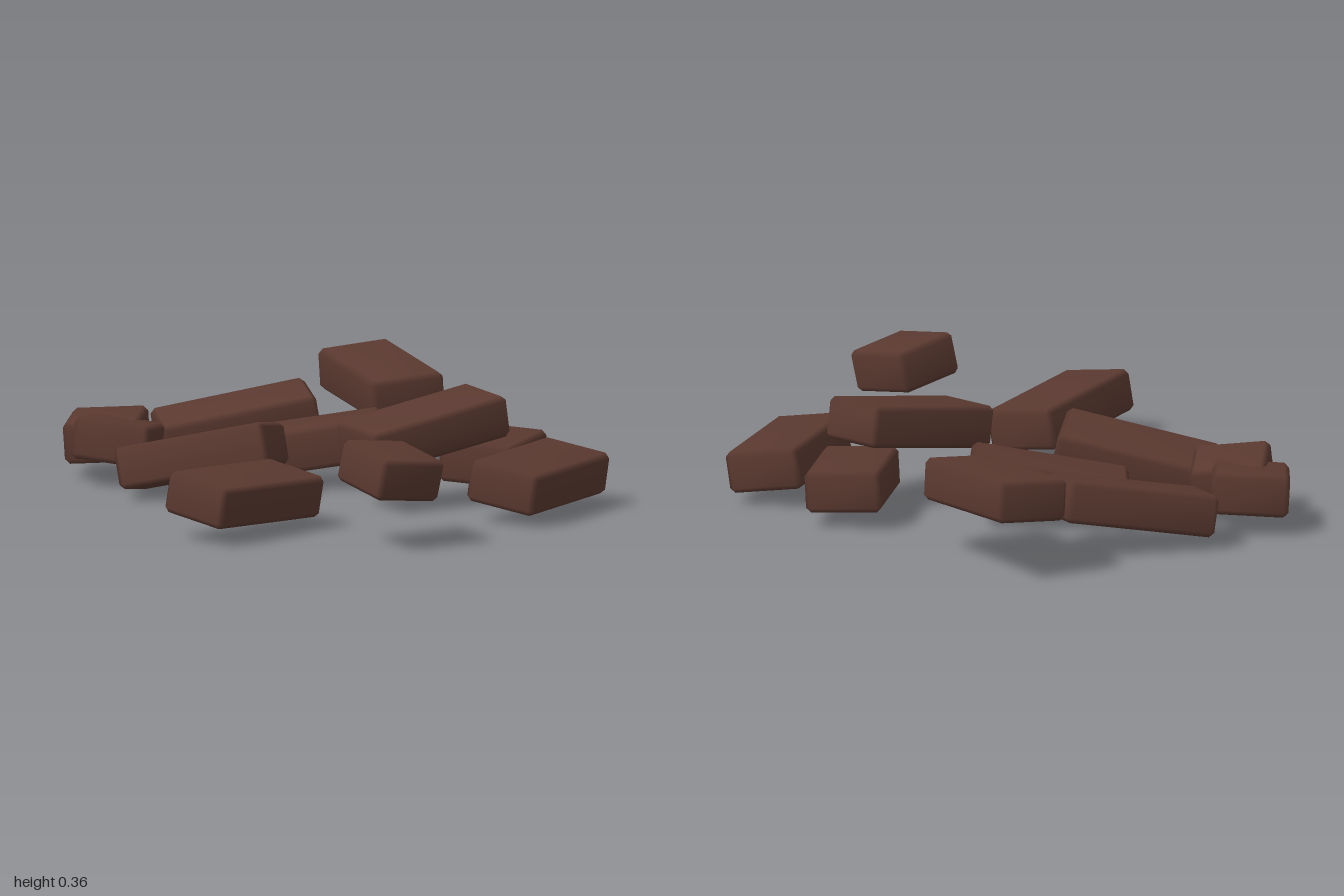
import * as THREE from 'three';
import { ConvexGeometry } from 'three/addons/geometries/ConvexGeometry.js';
import { mergeVertices } from 'three/addons/utils/BufferGeometryUtils.js';

const WIDTH = 0.245, HEIGHT = 0.135, BEVEL = 0.016;

// Box with chamfered edges and softly blended normals
function brickGeometry(length, width = WIDTH) {
  const half = [length / 2, HEIGHT / 2, width / 2];
  const points = [];
  for (const sx of [-1, 1]) for (const sy of [-1, 1]) for (const sz of [-1, 1]) {
    const sign = [sx, sy, sz];
    for (let axis = 0; axis < 3; axis++) {
      const p = half.map((h, i) => sign[i] * (i === axis ? h : h - BEVEL));
      points.push(new THREE.Vector3(...p));
    }
  }
  let geometry = new ConvexGeometry(points);
  geometry.deleteAttribute('normal');
  geometry = mergeVertices(geometry, 1e-4);
  geometry.computeVertexNormals();
  return geometry;
}

export function createModel() {
  const model = new THREE.Group();
  model.name = 'scatteredBricks';
  const brown = new THREE.MeshStandardMaterial({ color: 0x5a3930 });
  brown.name = 'dark brick brown';

  const whole = brickGeometry(0.505);
  const broken = brickGeometry(0.355);
  const half = brickGeometry(0.245);

  // name, geometry, position x y z, yaw, pitch (rise along length), roll
  const bricks = [
    ['backBrick', whole, -0.095, 0.253, -0.74, -0.81, -0.06, 0.085],
    ['backLeaningBrick', whole, -0.465, 0.145, -0.425, 0.555, 0.18, 0.1],
    ['sideLeaningBrick', whole, -0.335, 0.14, 0.165, 0.13, 0.22, -0.17],
    ['middleBrick', whole, -0.13, 0.135, -0.175, 0.258, 0.17, 0.02],
    ['outerBrick', whole, 0.77, 0.125, 0.025, 1.474, 0, 0.15],
    ['stackedBrick', whole, 0.37, 0.252, 0.02, 0.945, 0.165, 0.04],
    ['supportingBrick', broken, 0.49, 0.128, -0.265, 1.63, 0, 0.05],
    ['frontBrick', whole, 0.05, 0.133, 0.725, 1.273, -0.05, 0.15],
    ['frontHalfBrick', half, 0.57, 0.25, 0.76, -0.556, -0.16, -0.12],
    ['sideHalfBrick', half, -0.775, 0.135, -0.1, 0.255, 0.06, 0.05],
    ['overlappingHalfBrick', half, -0.685, 0.142, 0.02, 0.16, -0.1, -0.12],
  ];

  for (const [name, geometry, x, y, z, yaw, pitch, roll] of bricks) {
    const brick = new THREE.Mesh(geometry, brown);
    brick.name = name;
    brick.position.set(x, y, z);
    brick.rotation.set(roll, yaw, pitch, 'YZX');
    model.add(brick);
  }
  return model;
}
